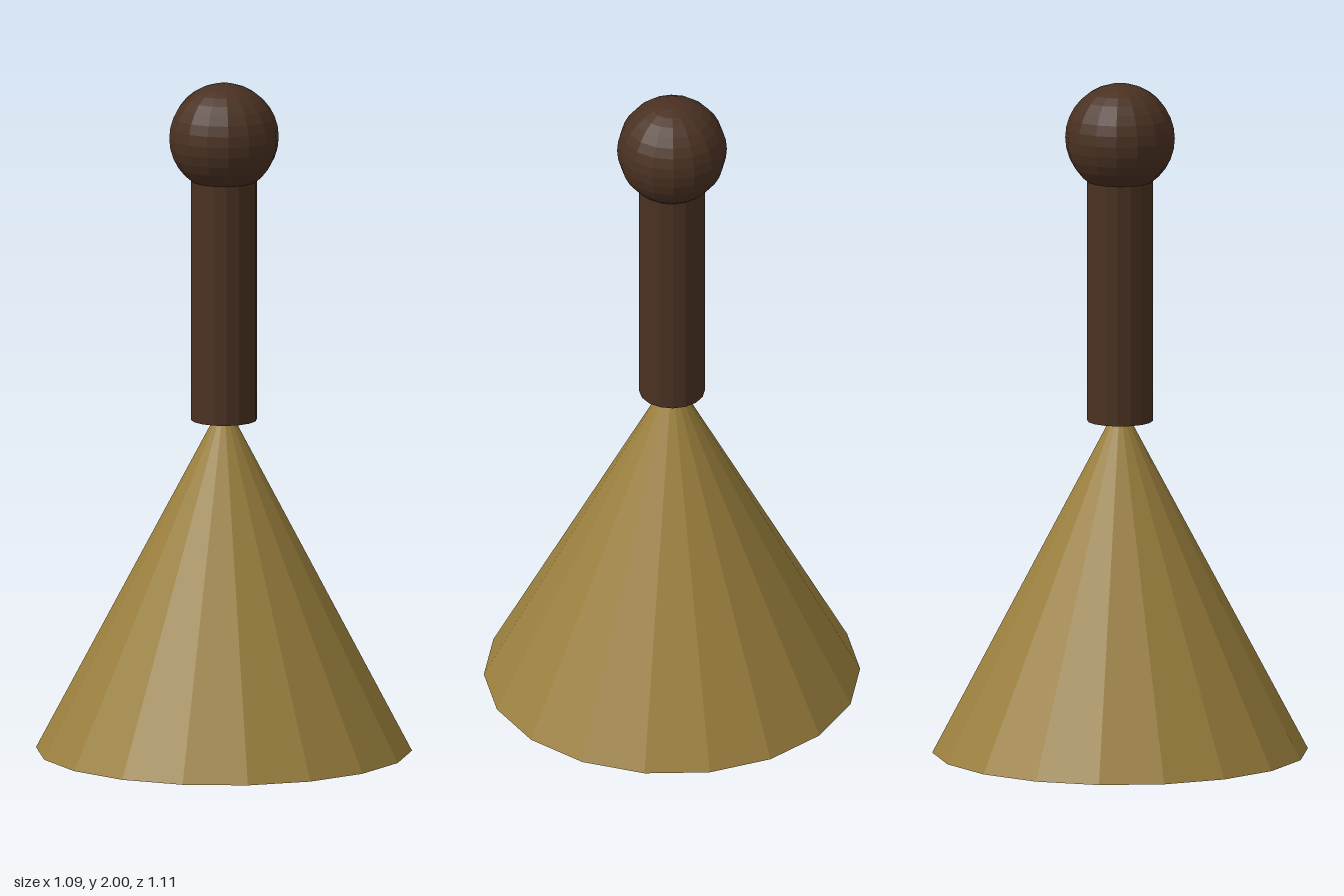
import * as THREE from 'three';

export function createModel() {
  const group = new THREE.Group();
  const wood = new THREE.MeshStandardMaterial({ color: 0x4a3122, flatShading: true });
  const brass = new THREE.MeshStandardMaterial({ color: 0x9b803e, flatShading: true });

  const add = (name, geometry, material, y) => {
    const mesh = new THREE.Mesh(geometry, material);
    mesh.name = name;
    mesh.position.y = y;
    group.add(mesh);
  };

  // Faceted cone body, closed underneath; its tip is hidden inside the handle
  const coneHeight = 1.05;
  add('coneBody', new THREE.ConeGeometry(0.555, coneHeight, 18), brass, coneHeight / 2);

  // Straight handle running up into the knob
  const bottom = 0.99, top = 1.76;
  add('handle', new THREE.CylinderGeometry(0.097, 0.097, top - bottom, 16), wood, (bottom + top) / 2);

  // Round knob
  add('knob', new THREE.SphereGeometry(0.162, 16, 16), wood, 1.838);

  return group;
}
